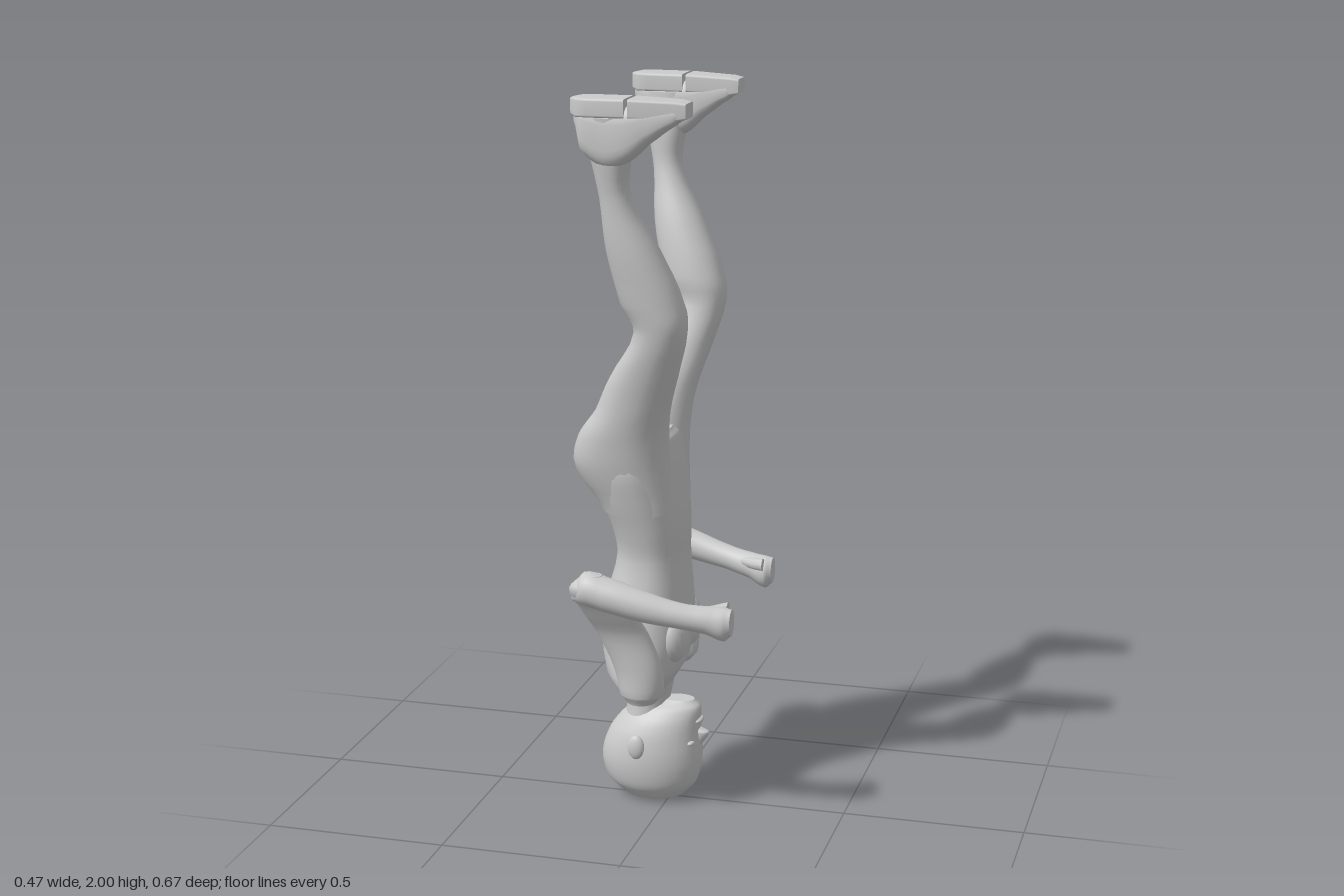
import * as THREE from 'three';

const material = new THREE.MeshStandardMaterial({ color: 0xcccccc });

// Smooth loft through rows of [t, a0, a1, z0, z1]: t runs along the axis,
// a0..a1 is the extent in the other upright-plane direction, z0..z1 the depth.
// power 2 gives ellipses, higher powers give boxier sections.
function loft(rows, { axis = 'y', power = 2, steps = 4, sides = 28 } = {}) {
  const rings = [];
  const spline = (p, q, r, s, t) =>
    0.5 * (2 * q + (r - p) * t + (2 * p - 5 * q + 4 * r - s) * t * t + (3 * q - p - 3 * r + s) * t ** 3);
  rows.forEach((row, i) => {
    if (i === rows.length - 1) return rings.push(row);
    const before = rows[Math.max(i - 1, 0)], next = rows[i + 1], after = rows[Math.min(i + 2, rows.length - 1)];
    for (let k = 0; k < steps; k++) {
      const t = k / steps;
      rings.push(row.map((v, c) => c === 0 ? v + (next[0] - v) * t : spline(before[c], v, next[c], after[c], t)));
    }
  });
  const pos = [], index = [];
  const put = (t, a, z) => axis === 'y' ? pos.push(a, t, z) : pos.push(t, a, z);
  const tri = (a, b, c) => axis === 'y' ? index.push(a, b, c) : index.push(a, c, b);
  const round = v => Math.sign(v) * Math.abs(v) ** (2 / power);
  for (const [t, a0, a1, z0, z1] of rings) {
    for (let j = 0; j < sides; j++) {
      const ang = (j / sides) * Math.PI * 2;
      put(t, (a0 + a1) / 2 + (a1 - a0) / 2 * round(Math.cos(ang)), (z0 + z1) / 2 + (z1 - z0) / 2 * round(Math.sin(ang)));
    }
  }
  for (let i = 0; i < rings.length - 1; i++) {
    for (let j = 0; j < sides; j++) {
      const p = i * sides + j, q = i * sides + (j + 1) % sides;
      tri(p, p + sides, q);
      tri(q, p + sides, q + sides);
    }
  }
  // End caps have their own vertices so their rims stay crisp
  [0, rings.length - 1].forEach((r, end) => {
    const base = pos.length / 3;
    pos.push(...pos.slice(r * sides * 3, (r + 1) * sides * 3));
    const [t, a0, a1, z0, z1] = rings[r];
    put(t, (a0 + a1) / 2, (z0 + z1) / 2);
    for (let j = 0; j < sides; j++) {
      const p = base + j, q = base + (j + 1) % sides;
      end ? tri(base + sides, q, p) : tri(base + sides, p, q);
    }
  });
  const geo = new THREE.BufferGeometry();
  geo.setAttribute('position', new THREE.Float32BufferAttribute(pos, 3));
  geo.setIndex(index);
  geo.computeVertexNormals();
  return geo;
}

// Loft with sections centred on z = 0: rows of [y, x0, x1, halfWidth]
const centred = (rows, options) => loft(rows.map(([y, a, b, w]) => [y, a, b, -w, w]), options);

function ellipsoid(x, y, z, rx, ry, rz) {
  return new THREE.SphereGeometry(1, 20, 14).scale(rx, ry, rz).translate(x, y, z);
}

function mirrored(geo) {
  const copy = geo.clone().scale(1, 1, -1);
  const idx = copy.index.array;
  for (let i = 0; i < idx.length; i += 3) [idx[i + 1], idx[i + 2]] = [idx[i + 2], idx[i + 1]];
  copy.computeVertexNormals();
  return copy;
}

export function createModel() {
  const model = new THREE.Group();
  model.name = 'upsideDownFigure';
  const add = (name, geo) => {
    const mesh = new THREE.Mesh(geo, material);
    mesh.name = name;
    model.add(mesh);
  };
  const pair = (name, geo) => {
    add(name + 'Left', geo);
    add(name + 'Right', mirrored(geo));
  };

  // Head, crown on the ground and face towards +x
  add('head', centred([
    [0, -0.09, 0, 0.04], [0.012, -0.13, 0.04, 0.066], [0.05, -0.175, 0.075, 0.093],
    [0.1, -0.193, 0.09, 0.105], [0.15, -0.19, 0.092, 0.107], [0.2, -0.17, 0.088, 0.1],
    [0.24, -0.14, 0.088, 0.085], [0.275, -0.1, 0.088, 0.06], [0.295, -0.02, 0.07, 0.03],
  ]));
  add('nose', loft([
    [0.16, 0.07, 0.09, -0.008, 0.008], [0.2, 0.07, 0.114, -0.018, 0.018], [0.212, 0.07, 0.09, -0.014, 0.014],
  ], { sides: 12 }));
  add('mouth', ellipsoid(0.082, 0.236, 0, 0.014, 0.009, 0.028));
  pair('eye', ellipsoid(0.07, 0.18, 0.042, 0.012, 0.008, 0.018));
  pair('ear', ellipsoid(-0.07, 0.175, 0.103, 0.024, 0.035, 0.014));

  // Neck and torso
  add('neck', centred([
    [0.2, -0.13, -0.01, 0.07], [0.3, -0.12, 0, 0.065], [0.35, -0.12, 0.01, 0.085], [0.38, -0.13, 0.02, 0.11],
  ]));
  add('torso', centred([
    [0.335, -0.09, -0.01, 0.1], [0.35, -0.125, 0.01, 0.18], [0.4, -0.165, 0.04, 0.187],
    [0.5, -0.182, 0.062, 0.172], [0.6, -0.17, 0.058, 0.158], [0.72, -0.14, 0.05, 0.142],
    [0.8, -0.15, 0.05, 0.155], [0.9, -0.185, 0.04, 0.18], [1.0, -0.2, 0.025, 0.195],
    [1.05, -0.17, 0.015, 0.16], [1.07, -0.1, 0, 0.08],
  ], { power: 2.3, sides: 36 }));
  pair('chest', ellipsoid(0.028, 0.5, 0.07, 0.044, 0.075, 0.065));

  // Arms, bent forward at the elbow
  pair('upperArm', loft([
    [0.345, -0.07, 0.01, 0.14, 0.225], [0.37, -0.09, 0.03, 0.13, 0.238], [0.45, -0.105, 0.03, 0.15, 0.243],
    [0.55, -0.145, 0, 0.18, 0.257], [0.63, -0.18, -0.03, 0.222, 0.3], [0.69, -0.2, -0.07, 0.245, 0.33],
    [0.73, -0.165, -0.11, 0.265, 0.31],
  ]));
  pair('forearm', loft([
    [-0.19, 0.65, 0.69, 0.265, 0.3], [-0.16, 0.645, 0.735, 0.245, 0.33], [-0.1, 0.63, 0.725, 0.24, 0.335],
    [0, 0.61, 0.695, 0.245, 0.325], [0.1, 0.595, 0.665, 0.235, 0.305], [0.17, 0.58, 0.655, 0.213, 0.288],
    [0.215, 0.56, 0.652, 0.2, 0.278], [0.235, 0.575, 0.648, 0.212, 0.268],
  ], { axis: 'x' }));
  pair('thumb', loft([
    [0.13, 0.62, 0.645, 0.23, 0.26], [0.18, 0.618, 0.65, 0.2, 0.24], [0.215, 0.62, 0.655, 0.18, 0.22],
  ], { axis: 'x', sides: 10 }));

  // Legs from hip to ankle
  pair('leg', loft([
    [0.86, -0.16, 0.03, 0.02, 0.165], [0.98, -0.235, 0.025, 0, 0.195], [1.07, -0.222, 0.025, 0.012, 0.212],
    [1.15, -0.165, 0.035, 0.045, 0.226], [1.25, -0.115, 0.065, 0.09, 0.245], [1.38, -0.04, 0.1, 0.135, 0.272],
    [1.46, -0.075, 0.093, 0.137, 0.285], [1.6, -0.105, 0.035, 0.165, 0.3], [1.74, -0.115, -0.033, 0.21, 0.305],
    [1.84, -0.135, -0.03, 0.215, 0.32], [1.95, -0.165, 0, 0.228, 0.332],
  ], { power: 2.2 }));

  // Feet with soles uppermost, split by a groove at the arch
  pair('foot', loft([
    [-0.172, 1.93, 1.98, 0.26, 0.3], [-0.15, 1.86, 1.98, 0.236, 0.328], [-0.09, 1.82, 1.98, 0.228, 0.333],
    [-0.03, 1.835, 1.98, 0.229, 0.334], [0.02, 1.88, 1.98, 0.23, 0.328], [0.09, 1.93, 1.98, 0.232, 0.318],
    [0.125, 1.95, 1.98, 0.237, 0.31],
  ], { axis: 'x', power: 3.2 }));
  const sole = { axis: 'x', power: 9, steps: 1 };
  pair('heelSole', loft([
    [-0.18, 1.955, 1.997, 0.262, 0.3], [-0.16, 1.95, 2, 0.236, 0.328], [-0.13, 1.95, 2, 0.23, 0.335],
    [-0.031, 1.95, 2, 0.23, 0.334],
  ], sole));
  pair('toeSole', loft([
    [-0.021, 1.95, 2, 0.23, 0.333], [0.1, 1.945, 1.995, 0.233, 0.315], [0.125, 1.95, 1.99, 0.237, 0.31],
  ], sole));

  return model;
}
